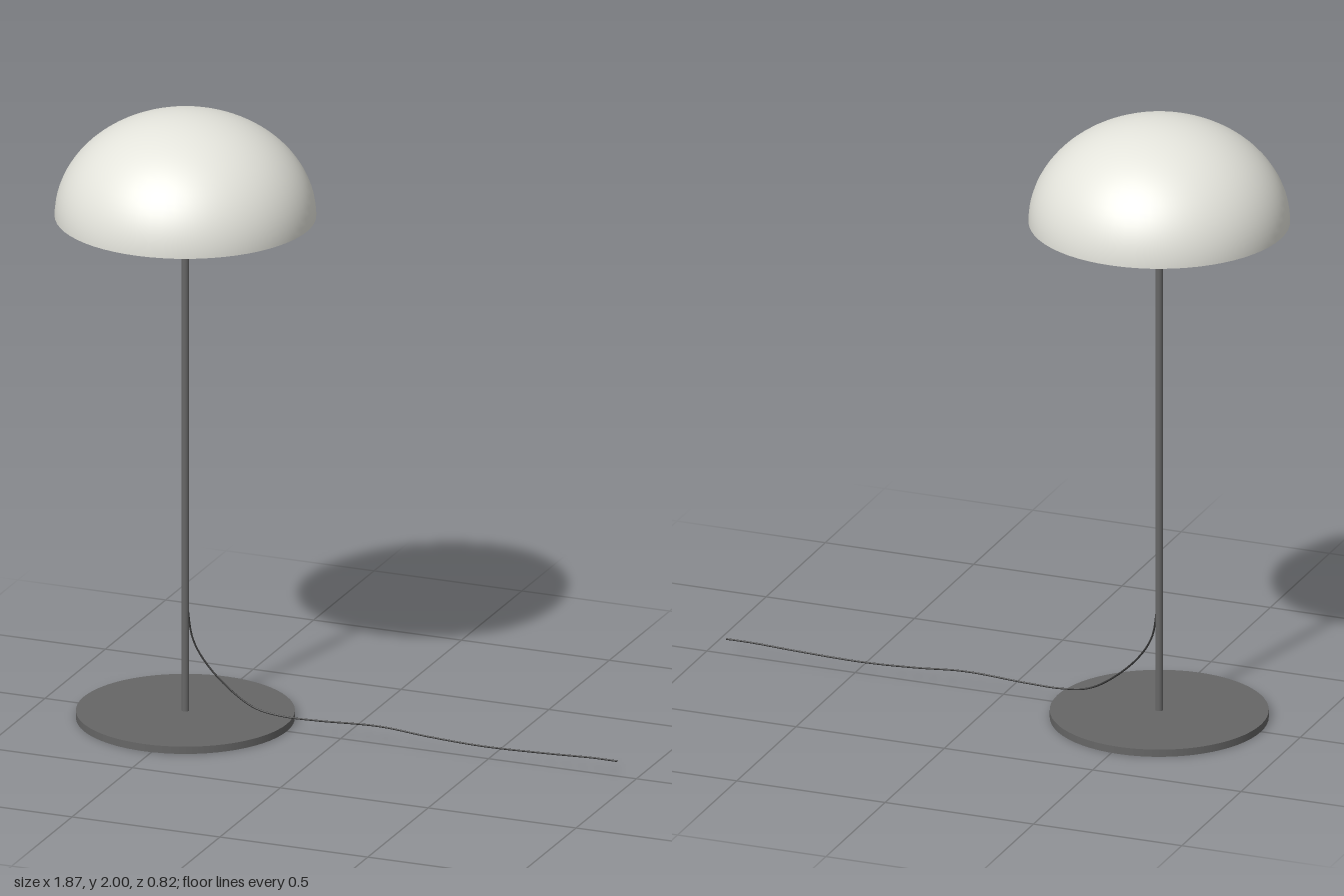
import * as THREE from 'three';

const X = -0.525; // lamp axis

export function createModel() {
  const lamp = new THREE.Group();
  lamp.name = 'lamp';

  const add = (name, geometry, color, x, y, side = THREE.FrontSide) => {
    const mesh = new THREE.Mesh(geometry, new THREE.MeshStandardMaterial({ color, side }));
    mesh.name = name;
    mesh.position.set(x, y, 0);
    lamp.add(mesh);
  };

  // Round foot plate and slim pole, which ends just inside the shade
  add('base', new THREE.CylinderGeometry(0.343, 0.343, 0.024, 64), 0x666666, X, 0.012);
  add('pole', new THREE.CylinderGeometry(0.012, 0.012, 1.7, 24), 0x666666, X, 0.87);

  // Open half-ellipsoid shade
  const dome = new THREE.SphereGeometry(0.41, 64, 24, 0, Math.PI * 2, 0, Math.PI / 2);
  dome.scale(1, 0.333 / 0.41, 1);
  add('shade', dome, 0xe4e4dc, X, 1.667, THREE.DoubleSide);

  // Power cord leaving the pole and trailing to the side
  const path = new THREE.CatmullRomCurve3([
    [-0.518, 0.37], [-0.5, 0.265], [-0.455, 0.19], [-0.37, 0.11], [-0.29, 0.063],
    [-0.2, 0.048], [-0.08, 0.049], [0.13, 0.058], [0.3, 0.046], [0.48, 0.039],
    [0.7, 0.044], [0.85, 0.05], [0.935, 0.05],
  ].map(([x, y]) => new THREE.Vector3(x, y, 0)));
  add('cord', new THREE.TubeGeometry(path, 100, 0.003, 8), 0x333333, 0, 0, THREE.DoubleSide);

  return lamp;
}
